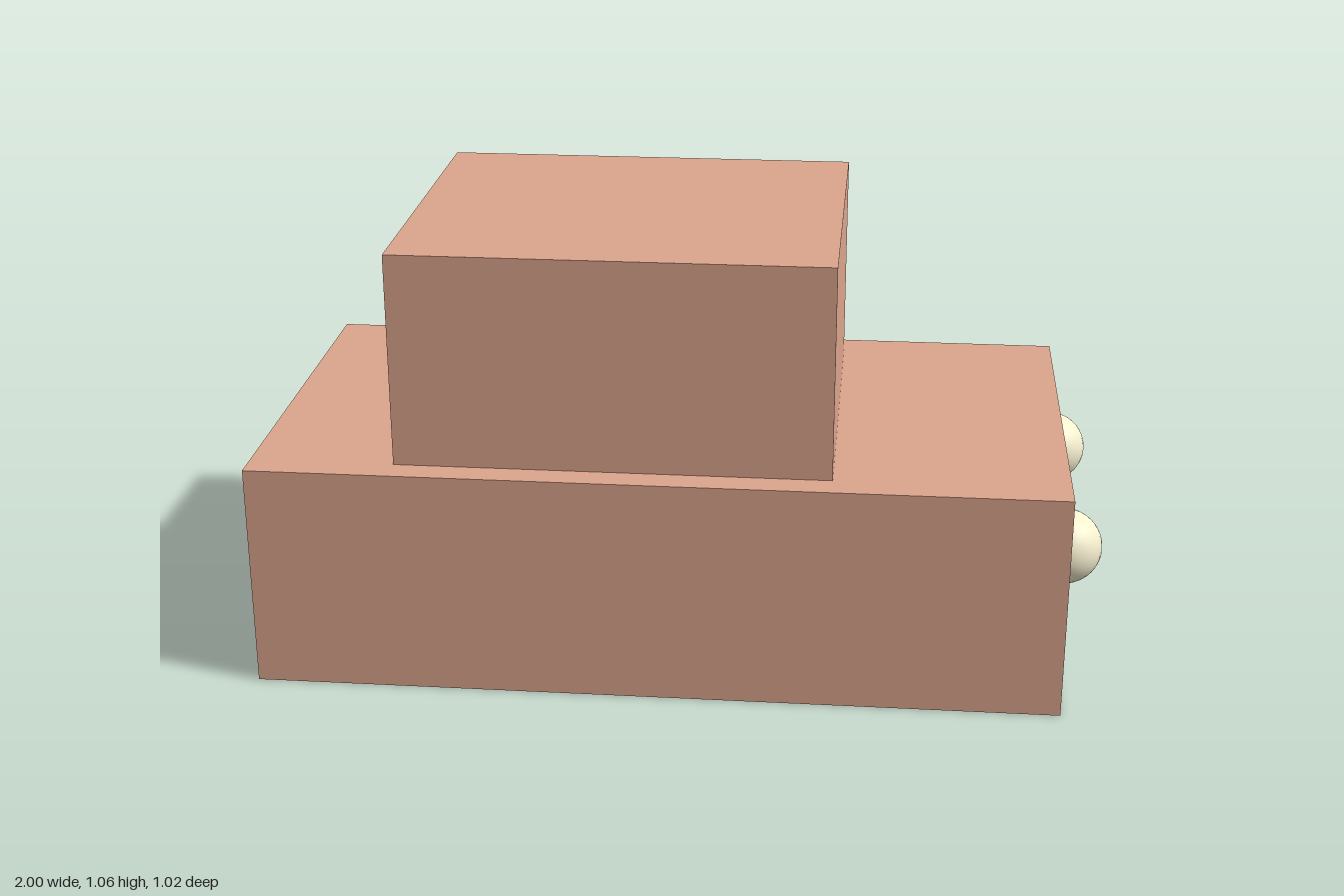
import * as THREE from 'three';

export function createModel() {
  const group = new THREE.Group();
  const paint = new THREE.MeshStandardMaterial({ color: 0xdca58c });
  const lamp = new THREE.MeshStandardMaterial({ color: 0xf5efcf });

  function add(name, geometry, material, x, y, z) {
    const mesh = new THREE.Mesh(geometry, material);
    mesh.name = name;
    mesh.position.set(x, y, z);
    group.add(mesh);
  }

  // Long lower body with the cabin set slightly to the rear
  add('body', new THREE.BoxGeometry(1.911, 0.546, 1.024), paint, -0.0445, 0.273, 0);
  add('cabin', new THREE.BoxGeometry(1.024, 0.512, 0.887), paint, -0.147, 0.802, 0);

  // Round headlights, half sunk into the nose
  for (const side of [1, -1]) {
    add(side > 0 ? 'headlightFront' : 'headlightBack',
      new THREE.SphereGeometry(0.089, 32, 24), lamp, 0.911, 0.342, side * 0.307);
  }
  return group;
}
